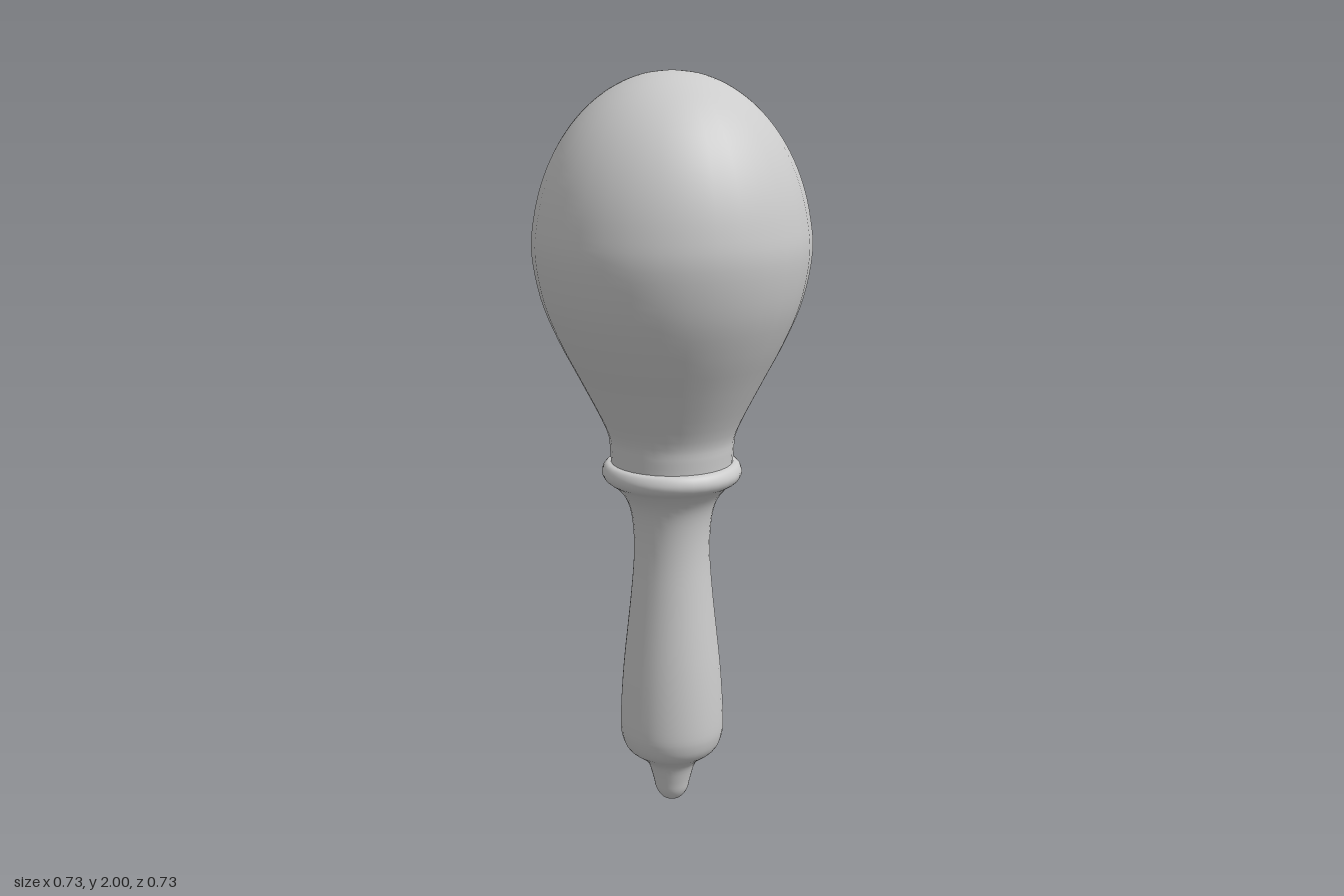
import * as THREE from 'three';

const SIDES = 32;

// Smooth lathe through a few [radius, height] points, listed bottom to top
function turned(name, points, steps) {
  const curve = new THREE.SplineCurve(points.map(([r, y]) => new THREE.Vector2(r, y)));
  const profile = curve.getPoints(steps);
  profile.forEach((p) => { p.x = Math.max(p.x, 0); });
  const mesh = new THREE.Mesh(
    new THREE.LatheGeometry(profile, SIDES),
    new THREE.MeshStandardMaterial({ color: 0xcccccc })
  );
  mesh.name = name;
  return mesh;
}

export function createModel() {
  const model = new THREE.Group();
  model.name = 'maraca';

  // Egg-shaped shaker: short neck, flared cone, then an elliptical dome
  const shell = [[0.162, 0.96], [0.165, 1.01], [0.175, 1.07], [0.24, 1.2], [0.297, 1.31], [0.341, 1.42]];
  const domeSteps = 8;
  for (let i = 0; i <= domeSteps; i++) {
    const a = (i / domeSteps) * Math.PI / 2;
    shell.push([0.363 * Math.cos(a), 1.54 + 0.46 * Math.sin(a)]);
  }
  model.add(turned('shakerHead', shell, 56));

  // Turned handle with a small end knob, a waist and a rounded collar
  model.add(turned('handle', [
    [0, 0], [0.025, 0.006], [0.043, 0.03], [0.052, 0.065], [0.066, 0.11],
    [0.09, 0.135], [0.122, 0.16], [0.138, 0.195], [0.142, 0.25], [0.133, 0.4],
    [0.112, 0.6], [0.103, 0.72], [0.106, 0.81], [0.12, 0.87], [0.15, 0.912],
    [0.178, 0.932], [0.187, 0.952], [0.18, 0.972], [0.165, 0.98], [0.13, 0.98], [0, 0.98],
  ], 80));

  return model;
}
